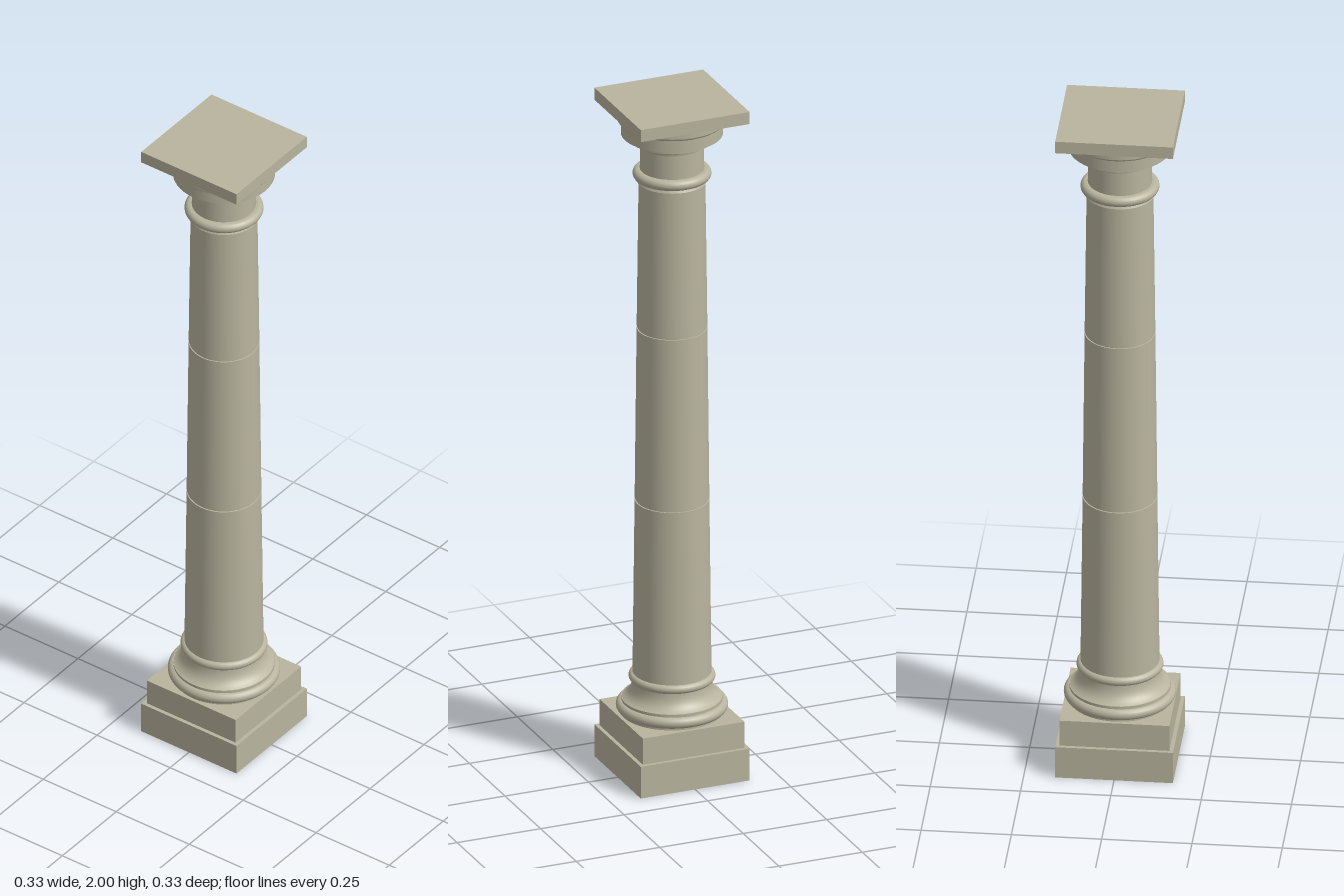
import * as THREE from 'three';

const SEGMENTS = 48;

export function createModel() {
  const column = new THREE.Group();
  column.name = 'column';
  const stone = new THREE.MeshStandardMaterial({ color: 0xb8b49e });
  stone.name = 'stone';

  function add(name, geometry, y = 0) {
    const mesh = new THREE.Mesh(geometry, stone);
    mesh.name = name;
    mesh.position.y = y;
    column.add(mesh);
  }

  // Square slab between two heights
  function slab(name, half, y0, y1) {
    add(name, new THREE.BoxGeometry(2 * half, y1 - y0, 2 * half), (y0 + y1) / 2);
  }

  // Turned part from [radius, height] points, listed upwards
  function turned(name, points) {
    add(name, new THREE.LatheGeometry(points.map(([r, y]) => new THREE.Vector2(r, y)), SEGMENTS));
  }

  // Straight drum with crisp rims and closed ends
  function drum(name, r0, r1, y0, y1) {
    add(name, new THREE.CylinderGeometry(r1, r0, y1 - y0, SEGMENTS), (y0 + y1) / 2);
  }

  // Half-round moulding closed in to an inner radius
  function roll(name, inner, outer, y0, y1) {
    const h = (y1 - y0) / 2;
    const points = [[inner, y0]];
    for (let i = 0; i <= 10; i++) {
      const a = -Math.PI / 2 + (Math.PI * i) / 10;
      points.push([outer - h + h * Math.cos(a), y0 + h + h * Math.sin(a)]);
    }
    points.push([inner, y1]);
    turned(name, points);
  }

  // Concave or convex quarter sweep between two radii
  function sweep(name, r0, r1, y0, y1, bulge) {
    const curve = new THREE.QuadraticBezierCurve(
      new THREE.Vector2(r0, y0), new THREE.Vector2(...bulge), new THREE.Vector2(r1, y1));
    add(name, new THREE.LatheGeometry(curve.getPoints(10), SEGMENTS));
  }

  // Stepped plinth
  slab('lowerPlinth', 0.163, 0, 0.095);
  slab('upperPlinth', 0.152, 0.095, 0.173);

  // Round base
  drum('baseFillet', 0.142, 0.142, 0.172, 0.18);
  roll('baseRoll', 0.09, 0.155, 0.178, 0.211);
  drum('baseStep', 0.14, 0.14, 0.205, 0.219);
  sweep('baseFlare', 0.138, 0.11, 0.219, 0.27, [0.112, 0.232]);
  roll('baseRing', 0.09, 0.12, 0.268, 0.294);

  // Tapering shaft in three drums, with narrow grooves at the joints
  drum('lowerShaft', 0.109, 0.103, 0.29, 0.807);
  drum('lowerJoint', 0.099, 0.099, 0.805, 0.815);
  drum('middleShaft', 0.103, 0.0975, 0.813, 1.321);
  drum('upperJoint', 0.094, 0.094, 1.319, 1.329);
  drum('upperShaft', 0.0975, 0.092, 1.327, 1.768);

  // Necking
  drum('neckFillet', 0.097, 0.092, 1.76, 1.77);
  roll('neckRing', 0.07, 0.109, 1.768, 1.798);
  drum('neck', 0.089, 0.088, 1.79, 1.875);

  // Stepped round capital
  sweep('capitalFlare', 0.089, 0.108, 1.868, 1.888, [0.091, 1.886]);
  drum('capitalLowerBand', 0.12, 0.12, 1.888, 1.902);
  drum('capitalMiddleBand', 0.141, 0.141, 1.902, 1.936);
  sweep('capitalCurve', 0.141, 0.149, 1.936, 1.946, [0.148, 1.938]);
  drum('capitalUpperBand', 0.15, 0.15, 1.944, 1.966);

  // Square top slab
  slab('abacus', 0.163, 1.964, 2);

  return column;
}
